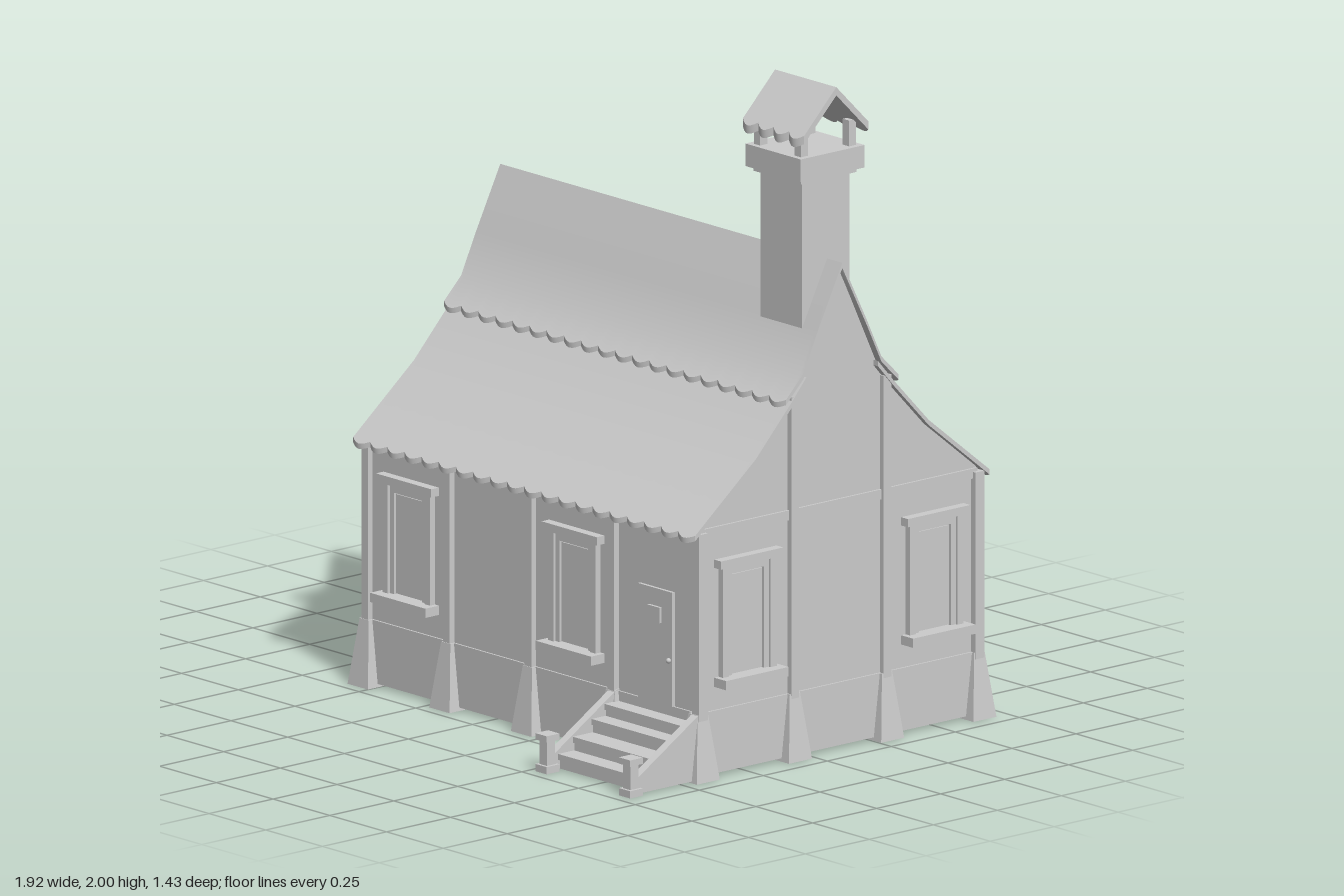
import * as THREE from 'three';
import { toCreasedNormals } from 'three/addons/utils/BufferGeometryUtils.js';

export function createModel() {
  const grey = new THREE.MeshStandardMaterial({ color: 0xcccccc });
  grey.name = 'plain grey';
  const model = new THREE.Group();
  model.name = 'cottage';

  const add = (geo, name, parent = model) => {
    const m = new THREE.Mesh(geo, grey);
    m.name = name;
    parent.add(m);
    return m;
  };
  const group = (name, x, y, z, ry = 0) => {
    const g = new THREE.Group();
    g.name = name;
    g.position.set(x, y, z);
    g.rotation.y = ry;
    model.add(g);
    return g;
  };
  // Box given by its extents
  const box = (name, x0, x1, y0, y1, z0, z1, parent = model) =>
    add(new THREE.BoxGeometry(x1 - x0, y1 - y0, z1 - z0)
      .translate((x0 + x1) / 2, (y0 + y1) / 2, (z0 + z1) / 2), name, parent);
  // Outline in (z, y) extruded along x
  const prism = (name, pts, x0, x1, parent = model) => {
    const shape = new THREE.Shape(pts.map(p => new THREE.Vector2(p[0], p[1])));
    const geo = new THREE.ExtrudeGeometry(shape, { depth: x1 - x0, bevelEnabled: false });
    return add(geo.rotateY(-Math.PI / 2).translate(x1, 0, 0), name, parent);
  };
  // Bent roof sheet falling towards +z, with a scalloped lower edge
  const sheet = (name, profile, width, scallops, parent, thick = 0.016, amp = 0.016) => {
    const n = profile.length, cols = scallops * 6, rings = [];
    const [p, e] = [profile[n - 2], profile[n - 1]];
    const len = Math.hypot(e[0] - p[0], e[1] - p[1]);
    for (let i = 0; i <= cols; i++) {
      const cut = amp * (1 - Math.abs(Math.sin(Math.PI * i / 6))) / len;
      const top = profile.slice(0, -1);
      top.push([e[0] + (p[0] - e[0]) * cut, e[1] + (p[1] - e[1]) * cut]);
      const ring = [...top, ...top.map(q => [q[0], q[1] - thick]).reverse()];
      rings.push(ring.map(q => [width * (i / cols - 0.5), q[1], q[0]]));
    }
    const pos = [];
    const quad = (a, b, c, d) => pos.push(...a, ...b, ...c, ...a, ...c, ...d);
    const k = 2 * n, first = rings[0], last = rings[cols];
    for (let i = 0; i < cols; i++) for (let j = 0; j < k; j++) {
      const j2 = (j + 1) % k;
      quad(rings[i][j], rings[i][j2], rings[i + 1][j2], rings[i + 1][j]);
    }
    for (let j = 0; j < n - 1; j++) {
      quad(last[j], last[j + 1], last[k - 2 - j], last[k - 1 - j]);
      quad(first[j], first[k - 1 - j], first[k - 2 - j], first[j + 1]);
    }
    const geo = new THREE.BufferGeometry();
    geo.setAttribute('position', new THREE.Float32BufferAttribute(pos, 3));
    return add(toCreasedNormals(geo, 0.5), name, parent);
  };
  // Tapered footing
  const buttress = (x, z) => {
    const geo = new THREE.BoxGeometry(0.09, 0.2, 0.09).toNonIndexed();
    const a = geo.attributes.position;
    for (let i = 0; i < a.count; i++)
      if (a.getY(i) > 0) a.setXYZ(i, a.getX(i) * 0.45, a.getY(i), a.getZ(i) * 0.45);
    geo.computeVertexNormals();
    add(geo.translate(x, 0.1, z), 'buttress');
  };

  // Walls: gabled body above an open skirt
  const ridge = -0.12, half = 0.54, zF = ridge + half, zB = ridge - half;
  const side = [[0.54, 0.762], [0.337, 0.925], [0.2, 1.07], [0.152, 1.14]];
  prism('walls', [
    [zB, 0.14], [zF, 0.14],
    ...side.map(p => [ridge + p[0], p[1]]), [ridge, 1.46],
    ...side.map(p => [ridge - p[0], p[1]]).reverse(),
  ], -0.55, 0.91);
  box('foundationFront', -0.555, 0.915, 0.01, 0.2, zF - 0.02, zF + 0.006);
  box('foundationBack', -0.555, 0.915, 0.01, 0.2, zB - 0.006, zB + 0.02);
  box('foundationRight', 0.89, 0.916, 0.01, 0.2, zB, zF);
  box('foundationLeft', -0.556, -0.53, 0.01, 0.2, zB, zF);
  box('hearthBase', 0.6, 0.895, 0.01, 0.15, -0.31, -0.06);

  // Timber posts and their footings
  for (const x of [-0.545, -0.185, 0.175, 0.54, 0.913])
    for (const z of [zF, zB]) {
      box('wallPost', x - 0.015, x + 0.015, 0.18, 0.745, z - 0.018, z + 0.018);
      buttress(x === 0.913 ? 0.905 : x, z);
    }
  for (const x of [-0.552, 0.912]) {
    for (const z of [0.06, -0.3]) {
      box('gablePost', x - 0.015, x + 0.015, 0.18, 1.1, z - 0.015, z + 0.015);
      if (x > 0) buttress(0.905, z);
    }
    box('gableBeam', x - 0.005, x + 0.005, 0.725, 0.755, zB, zF);
  }

  // Main roof, two overlapping courses on each slope
  for (const ry of [0, Math.PI]) {
    const roof = group('roofSlope', 0.177, 0, ridge, ry);
    sheet('upperRoof', [[0, 1.472], [0.095, 1.284], [0.153, 1.162], [0.231, 1.085]], 1.508, 20, roof);
    sheet('lowerRoof', [[0.14, 1.15], [0.2, 1.082], [0.337, 0.938], [0.587, 0.737]], 1.508, 20, roof);
  }

  // Windows, built facing +z
  const makeWindow = (x, z, ry) => {
    const w = group('window', x, 0, z, ry);
    box('sill', -0.122, 0.122, 0.27, 0.298, -0.005, 0.053, w);
    box('lintel', -0.122, 0.122, 0.63, 0.655, -0.005, 0.03, w);
    box('pane', -0.062, 0.062, 0.3, 0.6, -0.005, 0.004, w);
    box('innerHead', -0.082, 0.082, 0.605, 0.63, -0.005, 0.012, w);
    for (const s of [-1, 1]) {
      box('jamb', s * 0.093 - 0.012, s * 0.093 + 0.012, 0.298, 0.63, -0.005, 0.02, w);
      box('innerJamb', s * 0.072 - 0.01, s * 0.072 + 0.01, 0.298, 0.605, -0.005, 0.012, w);
    }
  };
  for (const x of [-0.36, 0.37]) {
    makeWindow(x, zF, 0);
    makeWindow(x, zB, Math.PI);
  }
  for (const z of [0.24, -0.49]) makeWindow(0.91, z, Math.PI / 2);

  // Door with a small framed light and a knob
  box('door', 0.65, 0.802, 0.2, 0.545, zF, zF + 0.01);
  box('doorLight', 0.702, 0.755, 0.445, 0.492, zF, zF + 0.019);
  add(new THREE.SphereGeometry(0.008, 12, 8).translate(0.79, 0.338, zF + 0.014), 'doorKnob');

  // Front steps, set between two sloping stringers
  [[0.425, 0.48, 0.17], [0.475, 0.53, 0.133], [0.525, 0.603, 0.092], [0.598, 0.66, 0.05]].forEach(([z0, z1, y]) => {
    box('tread', 0.555, 0.905, y - 0.018, y, z0, z1);
    box('riser', 0.555, 0.905, Math.max(0.005, y - 0.045), y - 0.018, z1 - 0.018, z1 - 0.006);
  });
  for (const x of [0.545, 0.913]) {
    prism('stringer', [[0.42, 0.005], [0.68, 0.005], [0.68, 0.05], [0.43, 0.205], [0.42, 0.205]], x - 0.014, x + 0.014);
    const n = group('newel', x, 0, 0.69);
    box('newelBase', -0.025, 0.025, 0, 0.022, -0.025, 0.025, n);
    box('newelShaft', -0.016, 0.016, 0.02, 0.1, -0.016, 0.016, n);
    box('newelCap', -0.025, 0.025, 0.096, 0.115, -0.025, 0.025, n);
  }

  // Side porch: skirt, railing panels and top beams
  const px = -0.905, pzF = 0.06, pzB = -0.665;
  for (const [name, y0, y1, t] of [['porchSkirt', 0.01, 0.19, 0.012], ['porchRail', 0.25, 0.48, 0.008], ['porchBeam', 0.588, 0.613, 0.014]]) {
    for (const z of [pzF, pzB]) box(name, px, -0.55, y0, y1, z - t, z + t);
    box(name, px - t, px + t, y0, y1, pzB, pzF);
  }
  for (const z of [pzF, -0.3, pzB]) {
    box('porchPost', px - 0.014, px + 0.014, 0.18, 0.613, z - 0.014, z + 0.014);
    buttress(-0.91, z);
  }
  box('porchLedger', -0.585, -0.55, 0.695, 0.72, pzB, pzF);
  const porchRoof = group('porchRoof', -0.555, 0, -0.305, -Math.PI / 2);
  sheet('porchRoofSheet', [[0, 0.738], [0.11, 0.69], [0.25, 0.652], [0.407, 0.617]], 0.81, 12, porchRoof, 0.014);

  // Chimney with a sheltering cap
  const cx = 0.772, cz = -0.115;
  box('chimneyStack', cx - 0.092, cx + 0.092, 1.15, 1.73, cz - 0.093, cz + 0.093);
  box('chimneyNeck', cx - 0.105, cx + 0.105, 1.718, 1.735, cz - 0.108, cz + 0.108);
  box('chimneyCollar', cx - 0.122, cx + 0.122, 1.732, 1.8, cz - 0.125, cz + 0.125);
  for (const sx of [-1, 1]) for (const sz of [-1, 1]) {
    const x = cx + sx * 0.09, z = cz + sz * 0.094;
    box('capPost', x - 0.014, x + 0.014, 1.8, 1.878, z - 0.014, z + 0.014);
  }
  for (const ry of [0, Math.PI]) {
    const cap = group('chimneyRoof', 0.775, 0, cz, ry);
    sheet('chimneyRoofSheet', [[0, 2], [0.138, 1.862]], 0.27, 4, cap, 0.025, 0.018);
  }
  return model;
}
